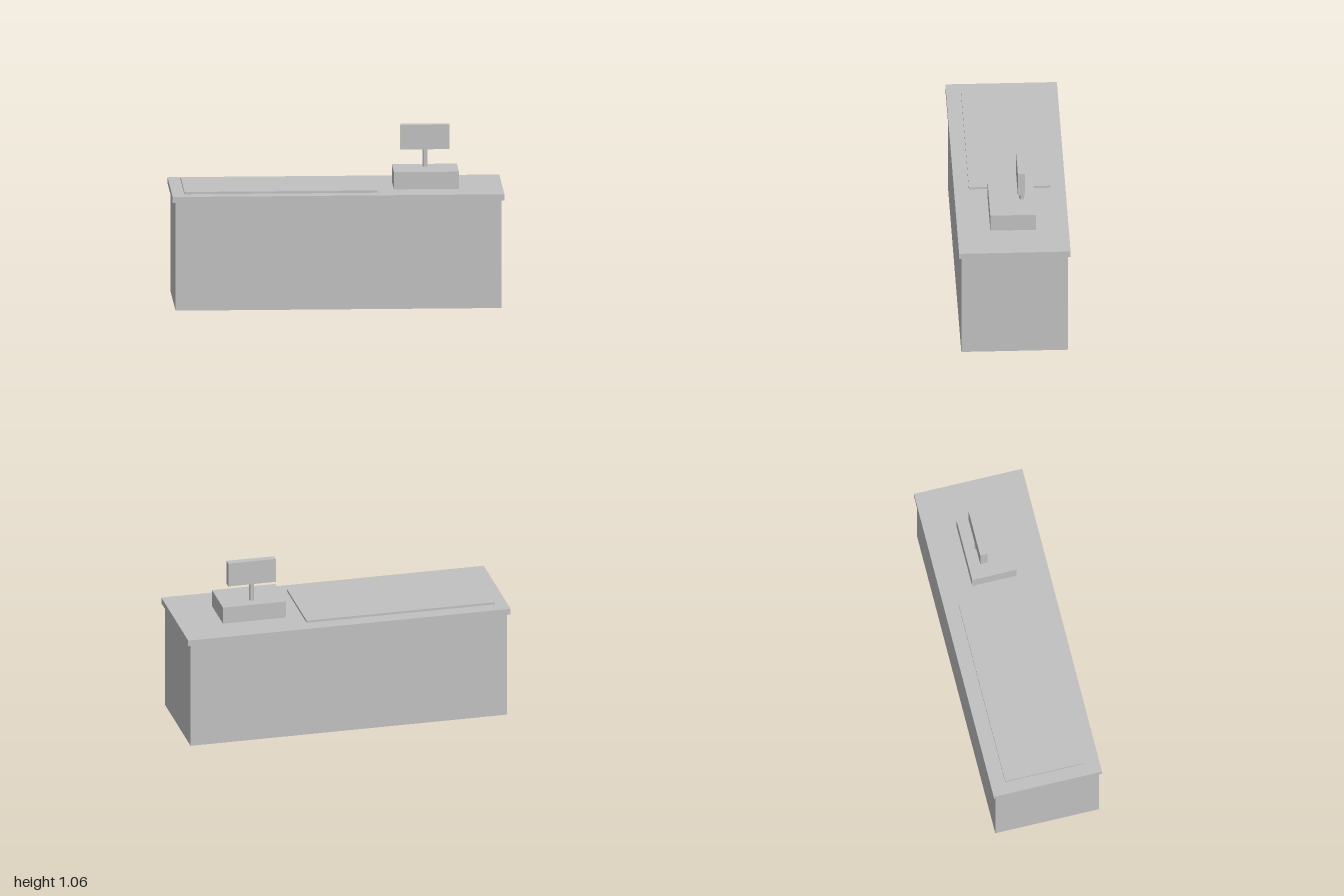
import * as THREE from 'three';

export function createModel() {
  const group = new THREE.Group();
  const grey = new THREE.MeshStandardMaterial({ color: 0xc0c0c0 });
  grey.name = 'light grey';
  grey.flatShading = true;

  const add = (name, geometry, x, y, z) => {
    const mesh = new THREE.Mesh(geometry, grey);
    mesh.name = name;
    mesh.position.set(x, y, z);
    group.add(mesh);
    return mesh;
  };
  // Box given by its lower and upper limits on each axis
  const box = (name, [x0, x1], [y0, y1], [z0, z1]) =>
    add(name, new THREE.BoxGeometry(x1 - x0, y1 - y0, z1 - z0),
      (x0 + x1) / 2, (y0 + y1) / 2, (z0 + z1) / 2);

  // Counter body and overhanging top
  box('counterBody', [-0.982, 0.982], [0, 0.661], [-0.322, 0.322]);
  box('counterTop', [-1, 1], [0.661, 0.698], [-0.336, 0.336]);

  // Thin conveyor belt
  box('conveyorBelt', [-0.925, 0.243], [0.698, 0.712], [-0.246, 0.246]);

  // Cash register with a display on a thin octagonal post
  box('registerBase', [0.343, 0.735], [0.698, 0.803], [-0.137, 0.137]);
  const post = add('displayPost', new THREE.CylinderGeometry(0.0155, 0.0155, 0.108, 8), 0.539, 0.857, -0.06);
  post.rotation.y = Math.PI / 8;
  box('display', [0.392, 0.687], [0.911, 1.061], [-0.075, -0.031]);

  return group;
}
